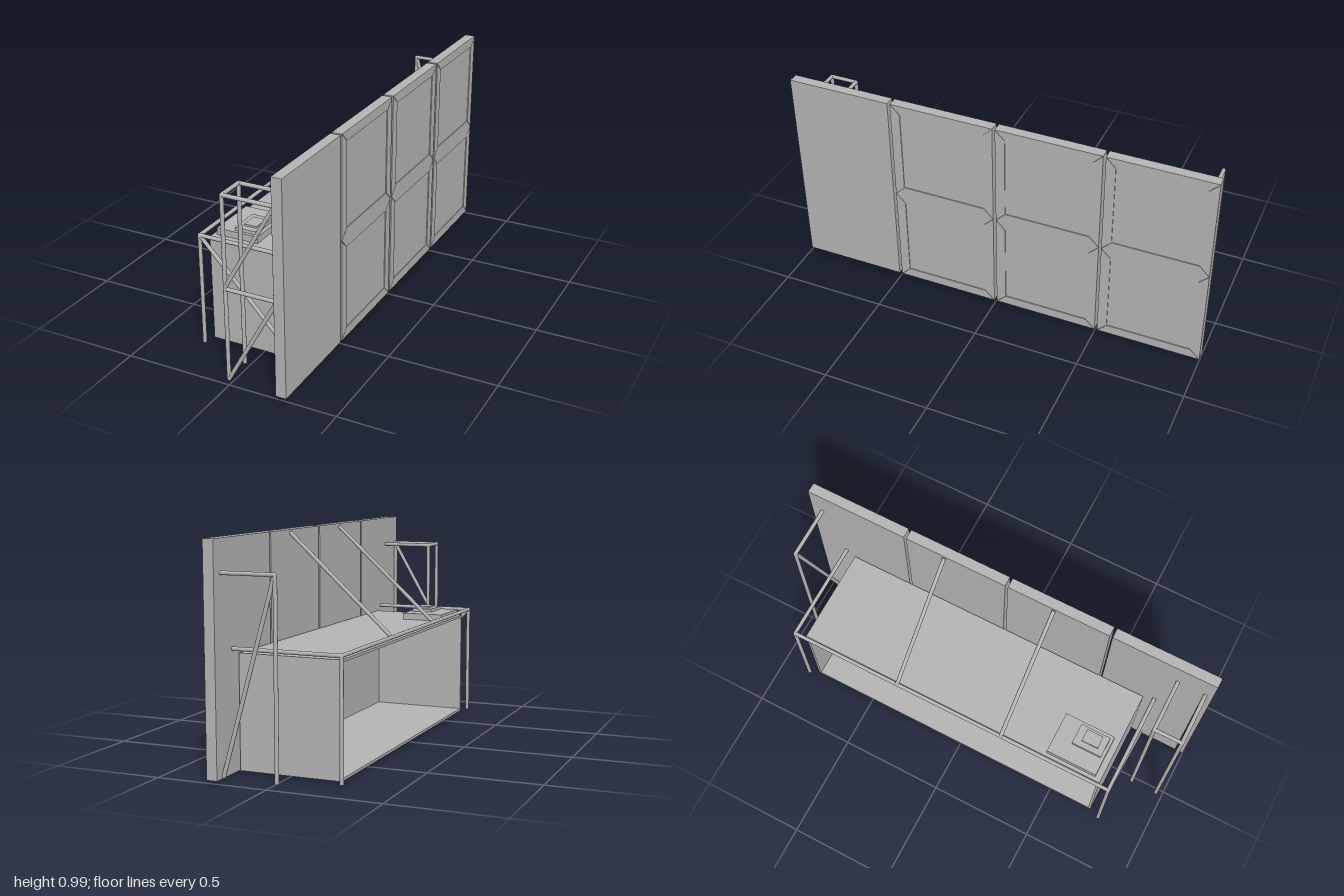
import * as THREE from 'three';

export function createModel() {
  const root = new THREE.Group();
  root.name = 'counterWithWallPanels';
  const grey = new THREE.MeshStandardMaterial({ color: 0xb4b4b4 });
  grey.name = 'plain grey';
  const R = 0.009;

  function add(parent, geometry, name) {
    const m = new THREE.Mesh(geometry, grey);
    m.name = name;
    parent.add(m);
    return m;
  }
  function group(name) {
    const g = new THREE.Group();
    g.name = name;
    root.add(g);
    return g;
  }
  // Box given by its low and high corners
  function box(parent, name, [x0, y0, z0], [x1, y1, z1]) {
    add(parent, new THREE.BoxGeometry(x1 - x0, y1 - y0, z1 - z0), name)
      .position.set((x0 + x1) / 2, (y0 + y1) / 2, (z0 + z1) / 2);
  }
  // Straight pipes through a list of points, with round elbows between them
  function pipe(parent, name, ...points) {
    const p = points.map((q) => new THREE.Vector3(...q));
    for (let i = 0; i + 1 < p.length; i++) {
      const dir = p[i + 1].clone().sub(p[i]);
      const m = add(parent, new THREE.CylinderGeometry(R, R, dir.length(), 12), name);
      m.position.copy(p[i]).addScaledVector(dir, 0.5);
      m.quaternion.setFromUnitVectors(new THREE.Vector3(0, 1, 0), dir.normalize());
      if (i > 0) add(parent, new THREE.SphereGeometry(R, 12, 8), name + 'Elbow').position.copy(p[i]);
    }
  }

  // Mitred flat moulding around one field of a panel, on the outer (+x) face
  function moulding(parent, z0, z1, y0, y1) {
    const w = 0.045, gap = 0.0015;
    const outer = [[z0, y0], [z1, y0], [z1, y1], [z0, y1]];
    const inner = [[z0 + w, y0 + w], [z1 - w, y0 + w], [z1 - w, y1 - w], [z0 + w, y1 - w]];
    for (let i = 0; i < 4; i++) {
      const j = (i + 1) % 4;
      const along = i % 2 === 0 ? 0 : 1;
      const sign = i < 2 ? 1 : -1;
      const shift = (p, s) => {
        const q = [...p];
        q[along] += s * sign * gap;
        return new THREE.Vector2(-q[0], q[1]);
      };
      const shape = new THREE.Shape([shift(outer[i], 1), shift(outer[j], -1), shift(inner[j], -1), shift(inner[i], 1)]);
      const geo = new THREE.ExtrudeGeometry(shape, { depth: 0.004, bevelEnabled: false });
      geo.rotateY(Math.PI / 2);
      geo.translate(0.266, 0, 0);
      add(parent, geo, 'panelMoulding');
    }
  }

  // Four wall panels; the front one is plain
  const y0 = 0.012, y1 = 0.993, mid = (y0 + y1) / 2;
  [[-1, -0.512], [-0.5, -0.009], [0.004, 0.495], [0.508, 1]].forEach(([a, b], i) => {
    const g = group('wallPanel');
    box(g, 'panelBoard', [0.222, y0, a], [i === 3 ? 0.27 : 0.266, y1, b]);
    if (i < 3) {
      moulding(g, a, b, y0, mid);
      moulding(g, a, b, mid, y1);
    }
  });

  // Counter cabinet, open on the -x side
  const cab = group('counter');
  const t = 0.012, x0 = -0.247, x1 = 0.217, zb = -0.81, zf = 0.72;
  box(cab, 'counterTop', [x0, 0.511 - t, zb], [x1, 0.511, zf]);
  box(cab, 'counterFloor', [x0, 0.012, zb], [x1, 0.012 + t, zf]);
  box(cab, 'counterBack', [x1 - t, 0.012 + t, zb], [x1, 0.511 - t, zf]);
  box(cab, 'counterEnd', [x0, 0.012 + t, zb], [x1 - t, 0.511 - t, zb + t]);
  box(cab, 'counterEnd', [x0, 0.012 + t, zf - t], [x1 - t, 0.511 - t, zf]);

  // Stacked device on the counter
  const dev = group('deviceStack');
  box(dev, 'deviceBase', [-0.23, 0.511, 0.445], [-0.03, 0.542, 0.69]);
  box(dev, 'deviceMiddle', [-0.148, 0.542, 0.53], [-0.048, 0.557, 0.675]);
  box(dev, 'deviceTop', [-0.12, 0.557, 0.565], [-0.06, 0.565, 0.645]);

  // Pipe rail around the counter, with legs and braces
  const rail = group('counterRail');
  const rx = -0.265, ry = 0.535, wx = 0.222;
  pipe(rail, 'handRail', [wx, ry, -0.855], [rx, ry, -0.855], [rx, ry, 0.77], [wx, ry, 0.77]);
  for (const z of [-0.855, 0.77]) pipe(rail, 'railLeg', [rx, ry, z], [rx, 0.012, z]);
  for (const z of [-0.31, 0.228]) pipe(rail, 'wallBrace', [rx, ry, z], [wx, 0.98, z]);
  pipe(rail, 'endBrace', [rx, ry, 0.77], [wx, 0.015, 0.77]);

  // Single support frame at the back end
  const back = group('backFrame');
  const fx = -0.021, fy = 0.854;
  pipe(back, 'frameTube', [wx, fy, -0.945], [fx, fy, -0.945], [fx, 0.012, -0.945]);
  pipe(back, 'frameBrace', [fx + 0.005, fy - 0.01, -0.945], [wx, 0.015, -0.945]);

  // Double support frame at the front end
  const front = group('frontFrame');
  const za = 0.837, zc = 0.967, px = 0.213;
  pipe(front, 'frameTop', [wx, fy, za], [fx, fy, za], [fx, fy, zc], [wx, fy, zc]);
  for (const z of [za, zc]) pipe(front, 'frameLeg', [fx, fy, z], [fx, 0.01, z]);
  pipe(front, 'wallPost', [px, fy, zc], [px, 0.012, zc]);
  pipe(front, 'crossBar', [fx, 0.435, zc], [wx, 0.435, zc]);
  pipe(front, 'frameBrace', [fx, 0.445, zc], [px, fy - 0.005, zc]);
  pipe(front, 'frameBrace', [fx, 0.0045, zc], [px, 0.425, zc]);

  return root;
}
